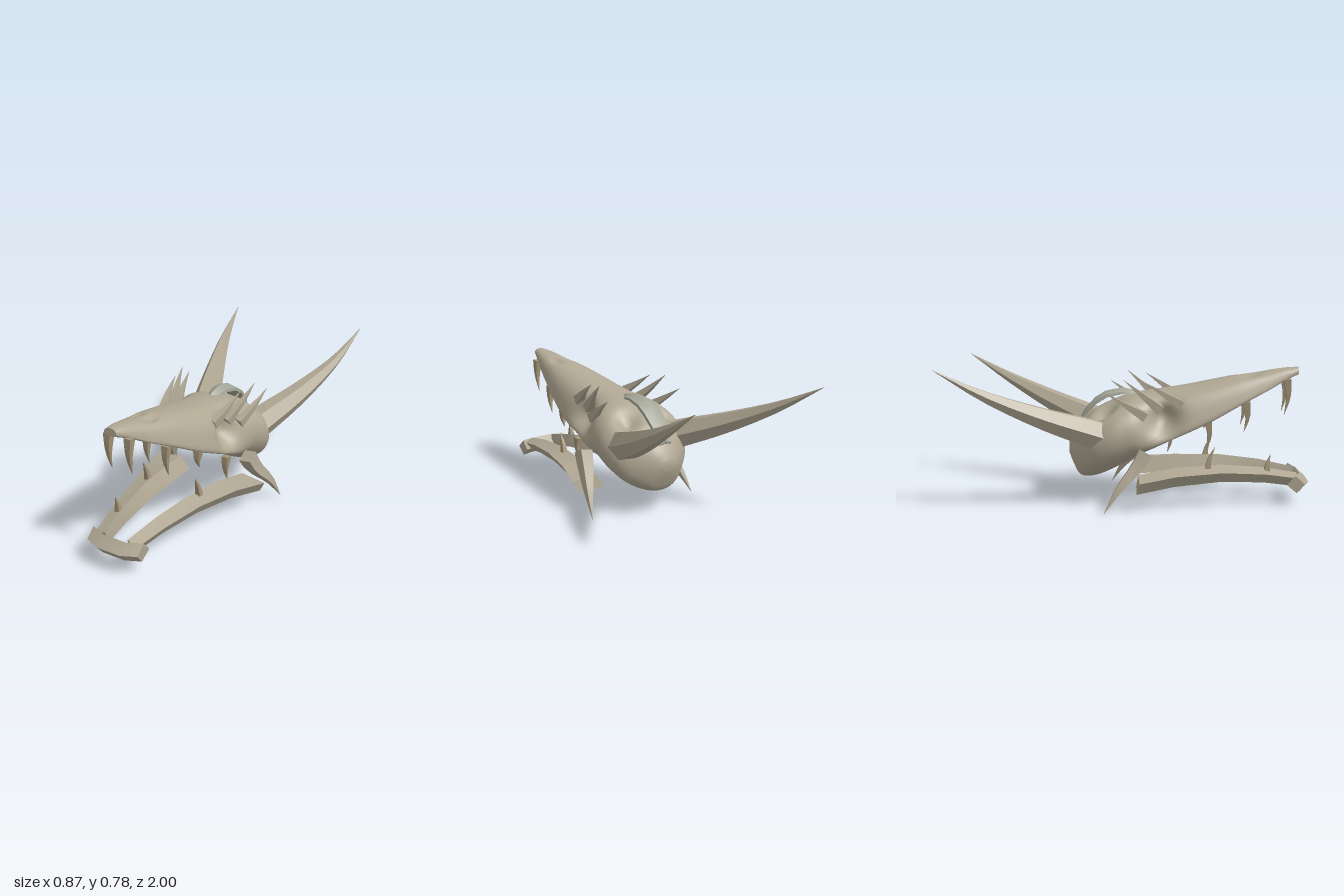
import * as THREE from 'three';
import { toCreasedNormals } from 'three/addons/utils/BufferGeometryUtils.js';

const V = (x, y, z) => new THREE.Vector3(x, y, z);
const bone = new THREE.MeshStandardMaterial({ color: 0xb0a793 });
const crestMat = new THREE.MeshStandardMaterial({ color: 0xa2a596 });
const toothMat = new THREE.MeshStandardMaterial({ color: 0xa39478 });

// Skins closed rings of points, caps both ends and makes the faces point outward
function loft(rings, crease) {
  const n = rings[0].length, pos = [], idx = [];
  rings.forEach(r => r.forEach(p => pos.push(p.x, p.y, p.z)));
  for (let i = 0; i < rings.length - 1; i++) {
    for (let j = 0; j < n; j++) {
      const a = i * n + j, b = i * n + (j + 1) % n;
      idx.push(a, b, a + n, b, b + n, a + n);
    }
  }
  [0, rings.length - 1].forEach((k, end) => {
    const c = rings[k].reduce((s, p) => s.add(p), V(0, 0, 0)).divideScalar(n);
    const ci = pos.length / 3;
    pos.push(c.x, c.y, c.z);
    for (let j = 0; j < n; j++) {
      const a = k * n + j, b = k * n + (j + 1) % n;
      if (end) idx.push(a, b, ci); else idx.push(b, a, ci);
    }
  });
  const at = i => V(pos[3 * i], pos[3 * i + 1], pos[3 * i + 2]);
  let volume = 0;
  for (let i = 0; i < idx.length; i += 3) volume += at(idx[i]).dot(at(idx[i + 1]).cross(at(idx[i + 2])));
  if (volume < 0) idx.reverse();
  const g = new THREE.BufferGeometry();
  g.setAttribute('position', new THREE.Float32BufferAttribute(pos, 3));
  g.setIndex(idx);
  return toCreasedNormals(g, crease);
}

// Curved tapering spike along a path; bulge shapes the falloff of the radius
function spike(points, radius, sides, segments, bulge = 1, crease = 0.3) {
  const curve = new THREE.CatmullRomCurve3(points.map(p => V(...p)));
  const frames = curve.computeFrenetFrames(segments);
  const rings = [];
  for (let i = 0; i <= segments; i++) {
    const t = i / segments, c = curve.getPointAt(t), r = radius * Math.max(0.01, 1 - t ** bulge);
    rings.push(Array.from({ length: sides }, (_, j) => {
      const a = (j + 0.5) / sides * Math.PI * 2;
      return c.clone().addScaledVector(frames.normals[i], r * Math.cos(a))
        .addScaledVector(frames.binormals[i], r * Math.sin(a));
    }));
  }
  return loft(rings, crease);
}

// Skull stations: z, top, bottom, half width, roundness (0 muzzle, 1 cranium)
const stations = [
  [0.93, 0.757, 0.715, 0.036, 0.7], [0.86, 0.752, 0.685, 0.062, 0.3], [0.75, 0.735, 0.63, 0.1, 0],
  [0.6, 0.712, 0.555, 0.148, 0], [0.45, 0.682, 0.475, 0.187, 0], [0.32, 0.655, 0.415, 0.21, 0],
  [0.2, 0.635, 0.355, 0.222, 0.1], [0.1, 0.62, 0.295, 0.234, 0.4], [0, 0.602, 0.235, 0.26, 0.9],
  [-0.1, 0.57, 0.18, 0.272, 1], [-0.2, 0.515, 0.14, 0.24, 1], [-0.28, 0.435, 0.138, 0.15, 1],
  [-0.32, 0.38, 0.2, 0.095, 1], [-0.345, 0.33, 0.26, 0.045, 1],
];
// Half outline of the muzzle: share of the half width, share of the height from the top
const muzzle = new THREE.SplineCurve([[0, 0], [0.36, 0.03], [0.68, 0.19], [0.86, 0.43], [0.96, 0.72],
  [1, 0.95], [0.88, 1], [0.5, 0.97], [0, 0.95]].map(p => new THREE.Vector2(...p)));

function skullGeometry() {
  const along = [0, 1, 2, 3].map(k => new THREE.CatmullRomCurve3(
    stations.map((s, i) => V(s[0], s[k + 1], i / 10)), false, 'centripetal'));
  const bump = (d, s) => Math.exp(-((d / s) ** 2));
  const rings = [], steps = 78, half = 24;
  for (let i = 0; i <= steps; i++) {
    const [top, bot, w, round] = along.map(c => c.getPoint(i / steps).y);
    const z = along[0].getPoint(i / steps).x;
    const ring = [];
    for (let j = 0; j < half * 2; j++) {
      const side = j <= half ? 1 : -1, u = (j <= half ? j : 2 * half - j) / half;
      const m = muzzle.getPoint(u), a = u * Math.PI;
      const fx = THREE.MathUtils.lerp(m.x, Math.sin(a) ** 0.85, round);
      const fy = THREE.MathUtils.lerp(m.y, 0.5 - 0.5 * Math.cos(a), round);
      let x = w * fx, y = top + (bot - top) * fy;
      // Eye sockets, nostrils and hollows behind the brow
      x -= 0.09 * bump(z - 0.185, 0.075) * bump(y - 0.485, 0.078) * Math.min(1, x / 0.12);
      if (u < 0.5) {
        y -= 0.024 * bump(z - 0.67, 0.05) * bump(x - 0.04, 0.022);
        y -= 0.07 * bump(z + 0.13, 0.06) * bump(x - 0.12, 0.055);
      }
      ring.push(V(side * x, y, z));
    }
    rings.push(ring);
  }
  return loft(rings, 0.9);
}

// Thin arched band: z, y, half width
function crestGeometry() {
  const arch = [[0.07, 0.605, 0.006], [0.03, 0.617, 0.028], [-0.05, 0.63, 0.045], [-0.14, 0.612, 0.058],
    [-0.2, 0.575, 0.06], [-0.26, 0.51, 0.053], [-0.31, 0.42, 0.04]];
  return loft(arch.map(([z, y, w]) => [V(-w, y - 0.012, z), V(0, y + 0.006, z + 0.002), V(w, y - 0.012, z),
    V(w, y - 0.025, z + 0.012), V(-w, y - 0.025, z + 0.012)]), 0.5);
}

// Broad arched jaw bar: x and y of outer top, inner top, inner bottom, outer bottom, then z
function jawGeometry(s) {
  const bar = [[0.358, 0.167, 0.21, 0.182, 0.155, 0.1, 0.32, 0.1, 0.05],
    [0.29, 0.192, 0.17, 0.214, 0.125, 0.125, 0.25, 0.127, 0.25],
    [0.224, 0.2, 0.136, 0.228, 0.1, 0.142, 0.19, 0.142, 0.5],
    [0.172, 0.182, 0.1, 0.208, 0.082, 0.13, 0.14, 0.13, 0.74],
    [0.13, 0.15, 0.07, 0.172, 0.066, 0.1, 0.1, 0.1, 0.93]];
  return loft(bar.map(([ax, ay, bx, by, cx, cy, dx, dy, z]) => [V(s * ax, ay, z + 0.012),
    V(s * bx, by, z), V(s * cx, cy, z - 0.012), V(s * dx, dy, z - 0.005)]), 0.4);
}

// Chin bar bowed forward: x, y shift, z shift
function chinGeometry() {
  const bow = [[-0.155, 0.004, -0.035], [-0.07, 0, -0.003], [0.07, 0, -0.003], [0.155, 0.004, -0.035]];
  return loft(bow.map(([x, dy, dz]) => [V(x, 0.168 + dy, 0.95 + dz), V(x, 0.12 + dy, 1.003 + dz),
    V(x * 0.96, 0.068 + dy, 0.96 + dz), V(x, 0.115 + dy, 0.905 + dz)]), 0.3);
}

export function createModel() {
  const model = new THREE.Group();
  model.name = 'hornedSkull';
  const add = (name, geometry, material = bone) => {
    const mesh = new THREE.Mesh(geometry, material);
    mesh.name = name;
    model.add(mesh);
  };

  add('skull', skullGeometry());
  add('crest', crestGeometry(), crestMat);
  add('chin', chinGeometry());

  for (const [side, s] of [['left', 1], ['right', -1]]) {
    const flip = pts => pts.map(([x, y, z]) => [s * x, y, z]);
    add(side + 'Jaw', jawGeometry(s));
    add(side + 'Horn', spike(flip([[0.18, 0.395, -0.165], [0.298, 0.512, -0.47], [0.388, 0.64, -0.75],
      [0.435, 0.78, -1]]), 0.088, 6, 9, 1.2, 0.6));
    add(side + 'CheekSpike', spike(flip([[0.262, 0.32, 0.09], [0.28, 0.24, 0.045], [0.33, 0.13, -0.05],
      [0.362, 0, -0.13]]), 0.052, 4, 6, 1.4));

    // Brow spikes behind the eye
    [[[0.155, 0.565, 0.28], [0.21, 0.695, 0.08]], [[0.17, 0.54, 0.165], [0.235, 0.71, -0.03]],
      [[0.2, 0.505, 0.085], [0.255, 0.645, -0.13]]].forEach(([a, b], i) => {
      const mid = a.map((v, k) => (v + b[k]) / 2 + (k === 0 ? 0.008 : 0));
      add(side + 'BrowSpike' + (i + 1), spike(flip([a, mid, b]), 0.036, 4, 4));
    });
  }

  // Upper teeth: x, y, z, length
  [[0.06, 0.695, 0.865, 0.2], [-0.062, 0.695, 0.865, 0.2], [0.112, 0.575, 0.64, 0.17],
    [-0.112, 0.575, 0.64, 0.17], [0.162, 0.47, 0.43, 0.1], [-0.16, 0.475, 0.43, 0.17],
    [0.205, 0.36, 0.22, 0.145]].forEach(([x, y, z, l], i) => add('upperTooth' + (i + 1),
    spike([[x, y, z], [x, y - l * 0.5, z + 0.008], [x, y - l, z - 0.012]], 0.028, 4, 5, 1.2), toothMat));

  // Lower teeth: x, y, z, length, forward lean
  [[0.165, 0.205, 0.43, 0.125, 0.04], [-0.167, 0.205, 0.43, 0.13, 0.04], [-0.115, 0.185, 0.76, 0.1, 0.02],
  ].forEach(([x, y, z, l, f], i) => add('lowerTooth' + (i + 1),
    spike([[x, y, z], [x, y + l * 0.5, z + f * 0.3], [x, y + l, z + f]], 0.023, 4, 5, 1.3), toothMat));

  return model;
}
